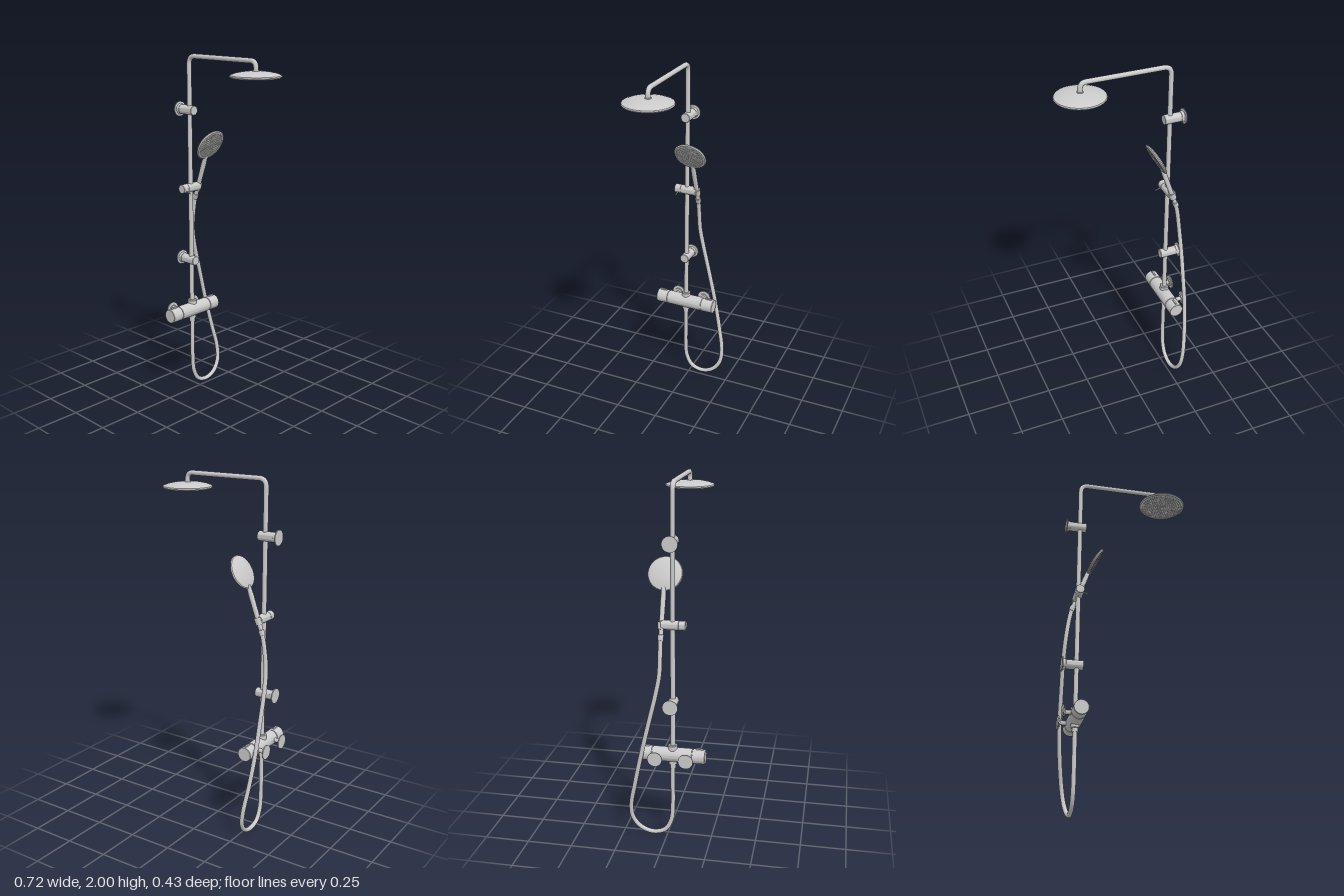
import * as THREE from 'three';
import { mergeGeometries, toCreasedNormals } from 'three/addons/utils/BufferGeometryUtils.js';

const V = (x, y, z) => new THREE.Vector3(x, y, z);
const PX = -0.277, PZ = 0.033; // riser axis

export function createModel() {
  const root = new THREE.Group();
  root.name = 'showerColumn';
  const metal = new THREE.MeshStandardMaterial({ color: 0xcccccc });

  const add = (name, geometry, parent = root) => {
    const mesh = new THREE.Mesh(geometry, metal);
    mesh.name = name;
    parent.add(mesh);
    return mesh;
  };

  // Turned part: [radius, distance] profile along an axis from an origin
  const turned = (name, profile, origin, axis, parent = root, sides = 40) => {
    const lathe = new THREE.LatheGeometry(profile.map(([r, d]) => new THREE.Vector2(r, d)), sides);
    const mesh = add(name, toCreasedNormals(lathe, 0.6), parent);
    mesh.position.copy(origin);
    mesh.quaternion.setFromUnitVectors(V(0, 1, 0), axis.clone().normalize());
    return mesh;
  };

  // Rings of small spray nozzles pointing down from y = 0
  const nozzles = (name, rings, step, size, parent) => {
    const parts = [];
    for (let i = 0; i <= rings; i++) {
      const count = i === 0 ? 1 : i * 6;
      for (let k = 0; k < count; k++) {
        const a = (k / count) * Math.PI * 2;
        const g = new THREE.CylinderGeometry(size, size * 0.7, 0.004, 8);
        parts.push(g.translate(Math.cos(a) * i * step, -0.001, Math.sin(a) * i * step));
      }
    }
    return add(name, mergeGeometries(parts), parent);
  };

  // Riser pipe with two rounded elbows
  const pipe = new THREE.CurvePath();
  const corners = [V(PX, 0.5, PZ), V(PX, 1.986, PZ), V(0.222, 1.986, PZ), V(0.222, 1.925, PZ)];
  let from = corners[0];
  for (let i = 1; i < 3; i++) {
    const c = corners[i], bend = i === 1 ? 0.045 : 0.035;
    const a = c.clone().add(corners[i - 1].clone().sub(c).setLength(bend));
    const b = c.clone().add(corners[i + 1].clone().sub(c).setLength(bend));
    pipe.add(new THREE.LineCurve3(from, a));
    pipe.add(new THREE.QuadraticBezierCurve3(a, c, b));
    from = b;
  }
  pipe.add(new THREE.LineCurve3(from, corners[3]));
  add('riserPipe', new THREE.TubeGeometry(pipe, 300, 0.0135, 20));

  // Overhead shower head: shallow dome with a recessed spray plate
  const overhead = new THREE.Group();
  overhead.name = 'overheadShower';
  overhead.position.set(0.222, 1.9, PZ);
  root.add(overhead);
  turned('overheadShell', [[0, 0.003], [0.122, 0.003], [0.123, 0], [0.132, 0.002], [0.137, 0.009], [0.134, 0.015],
    [0.11, 0.024], [0.075, 0.031], [0.035, 0.035], [0, 0.036]], V(0, 0, 0), V(0, 1, 0), overhead, 64);
  nozzles('overheadNozzles', 9, 0.0128, 0.003, overhead).position.y = 0.003;
  turned('overheadCollar', [[0, 0.03], [0.017, 0.03], [0.017, 0.04], [0, 0.04]], V(0, 0, 0), V(0, 1, 0), overhead);

  // Wall brackets gripping the riser
  for (const [name, y] of [['upperWallBracket', 1.688], ['lowerWallBracket', 0.81]]) {
    turned(name, [[0, 0], [0.042, 0], [0.042, 0.006], [0.031, 0.008], [0.028, 0.022],
      [0.0265, 0.023], [0.0265, 0.118], [0.025, 0.12], [0, 0.12]], V(-0.36, y, PZ), V(1, 0, 0));
  }

  // Thermostatic mixer bar with a grooved knob at each end
  const R = 0.041, MY = 0.503;
  turned('mixerBar', [[0, -0.15], [R - 0.002, -0.15], [R, -0.148], [R, -0.082], [R - 0.004, -0.081],
    [R - 0.004, -0.077], [R, -0.076], [R, 0.141], [R - 0.004, 0.142], [R - 0.004, 0.146],
    [R, 0.147], [R, 0.213], [R - 0.002, 0.215], [0, 0.215]], V(-0.274, MY, 0), V(0, 0, 1), root, 48);
  for (const [name, z] of [['rearKnobGrip', -0.118], ['frontKnobGrip', 0.182]]) {
    add(name, new THREE.BoxGeometry(0.009, 0.014, 0.04)).position.set(-0.275, MY + R, z);
  }

  // Wall unions behind the mixer
  for (const [name, z] of [['rearWallUnion', -0.053], ['frontWallUnion', 0.117]]) {
    turned(name, [[0, 0], [0.041, 0], [0.041, 0.006], [0.024, 0.007], [0.024, 0.014],
      [0.0125, 0.015], [0.0125, 0.06], [0, 0.06]], V(-0.36, MY, z), V(1, 0, 0));
  }

  // Pipe collar above the mixer and hose nut below it
  turned('riserCollar', [[0, 0.52], [0.026, 0.52], [0.026, 0.56], [0.022, 0.564], [0, 0.564]],
    V(PX, 0, PZ), V(0, 1, 0));
  turned('hoseOutletNut', [[0, 0.425], [0.016, 0.425], [0.016, 0.447], [0.022, 0.449], [0.022, 0.48], [0, 0.48]],
    V(PX, 0, PZ), V(0, 1, 0));

  // Sliding holder with its clamp lever and cradle
  turned('handsetHolder', [[0, -0.03], [0.024, -0.03], [0.0255, -0.028], [0.0255, 0.066], [0.024, 0.067],
    [0.0255, 0.068], [0.0255, 0.102], [0.024, 0.104], [0, 0.104]], V(PX, 1.245, 0), V(0, 0, 1));
  turned('holderLever', [[0, 0], [0.004, 0], [0.003, 0.035], [0, 0.036]],
    V(-0.26, 1.234, 0.083), V(0.9, -0.3, 0), root, 12);

  // Hand shower: tapered handle through the cradle, tilted round head
  const foot = V(-0.306, 1.165, -0.027), neck = V(-0.212, 1.43, -0.027);
  const along = neck.clone().sub(foot), len = along.length();
  turned('handsetHandle', [[0, 0], [0.014, 0], [0.016, 0.003], [0.016, 0.03], [0.0125, 0.032], [0.0135, 0.1],
    [0.0145, len * 0.8], [0.012, len], [0, len]], foot, along);
  turned('holderCradle', [[0, 0.06], [0.019, 0.06], [0.021, 0.1], [0, 0.1]], foot, along);

  const handset = new THREE.Group();
  handset.name = 'handsetHead';
  handset.position.set(-0.175, 1.496, -0.027);
  handset.quaternion.setFromUnitVectors(V(0, 1, 0), V(-0.88, 0.47, 0).normalize());
  root.add(handset);
  turned('handsetShell', [[0, -0.005], [0.079, -0.005], [0.08, -0.008], [0.089, -0.007], [0.095, -0.001],
    [0.091, 0.005], [0.07, 0.012], [0.04, 0.017], [0, 0.019]], V(0, 0, 0), V(0, 1, 0), handset, 56);
  nozzles('handsetNozzles', 7, 0.0107, 0.0028, handset).position.y = -0.005;

  // Flexible hose looping from the handset down and back up to the mixer
  const hose = new THREE.CatmullRomCurve3([
    V(-0.303, 1.175, -0.027), V(-0.316, 1.11, -0.027), V(-0.332, 0.98, -0.03), V(-0.338, 0.86, -0.052),
    V(-0.338, 0.7, -0.09), V(-0.335, 0.5, -0.136), V(-0.322, 0.33, -0.173), V(-0.303, 0.18, -0.201),
    V(-0.291, 0.1, -0.193), V(-0.281, 0.04, -0.15), V(-0.277, 0.014, -0.08), V(-0.277, 0.035, -0.012),
    V(-0.277, 0.1, 0.024), V(PX, 0.2, PZ), V(PX, 0.32, PZ), V(PX, 0.44, PZ),
  ]);
  add('hose', new THREE.TubeGeometry(hose, 200, 0.0125, 16));

  return root;
}
